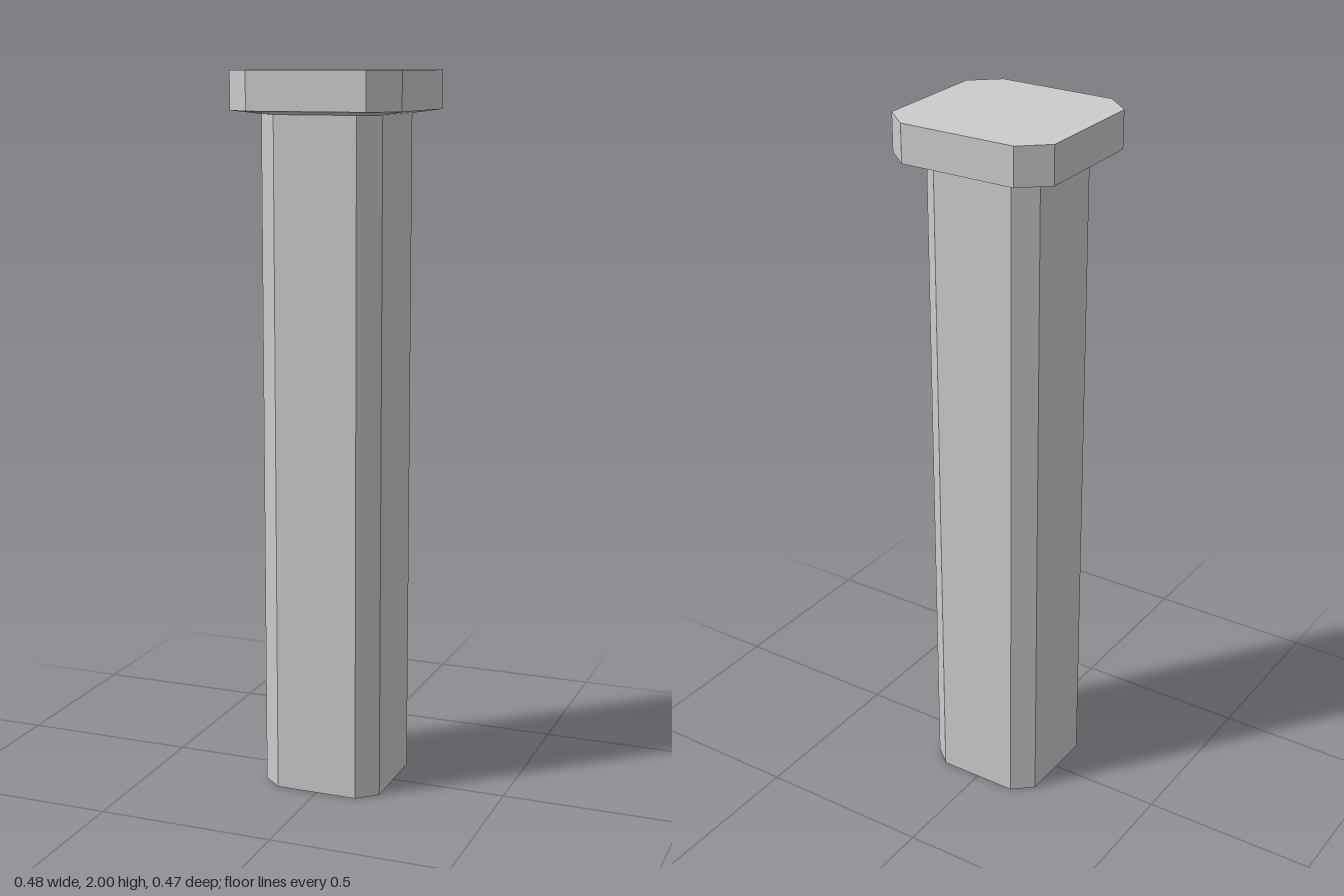
import * as THREE from 'three';

const material = new THREE.MeshStandardMaterial({ color: 0xcccccc, flatShading: true });

// Rectangle with cut corners: half sizes hx, hz and half lengths of the straight edges ex, ez
function ring(y, hx, hz, ex, ez) {
  return [[hx, ez], [ex, hz], [-ex, hz], [-hx, ez], [-hx, -ez], [-ex, -hz], [ex, -hz], [hx, -ez]]
    .map(([x, z]) => new THREE.Vector3(x, y, z));
}

// Join rings from bottom to top, optionally closing the two ends
function loft(name, rings, closeBottom, closeTop) {
  const points = [];
  const n = rings[0].length;
  for (let r = 0; r < rings.length - 1; r++) {
    const low = rings[r], high = rings[r + 1];
    for (let i = 0; i < n; i++) {
      const j = (i + 1) % n;
      points.push(low[i], high[i], low[j], low[j], high[i], high[j]);
    }
  }
  const bottom = rings[0], top = rings[rings.length - 1];
  for (let i = 1; i < n - 1; i++) {
    if (closeBottom) points.push(bottom[0], bottom[i], bottom[i + 1]);
    if (closeTop) points.push(top[0], top[i + 1], top[i]);
  }
  const geometry = new THREE.BufferGeometry().setFromPoints(points);
  geometry.computeVertexNormals();
  const mesh = new THREE.Mesh(geometry, material);
  mesh.name = name;
  return mesh;
}

export function createModel() {
  const group = new THREE.Group();
  group.name = 'pillar';

  const shaftRing = (y) => ring(y, 0.172, 0.167, 0.117, 0.119);
  const capRing = (y) => ring(y, 0.242, 0.233, 0.167, 0.168);

  // Straight shaft with chamfered corners
  group.add(loft('shaft', [shaftRing(0), shaftRing(1.885)], true, false));

  // Wider cap slab, its underside sloping gently in to the shaft
  group.add(loft('cap', [shaftRing(1.885), capRing(1.895), capRing(2)], false, true));

  return group;
}
